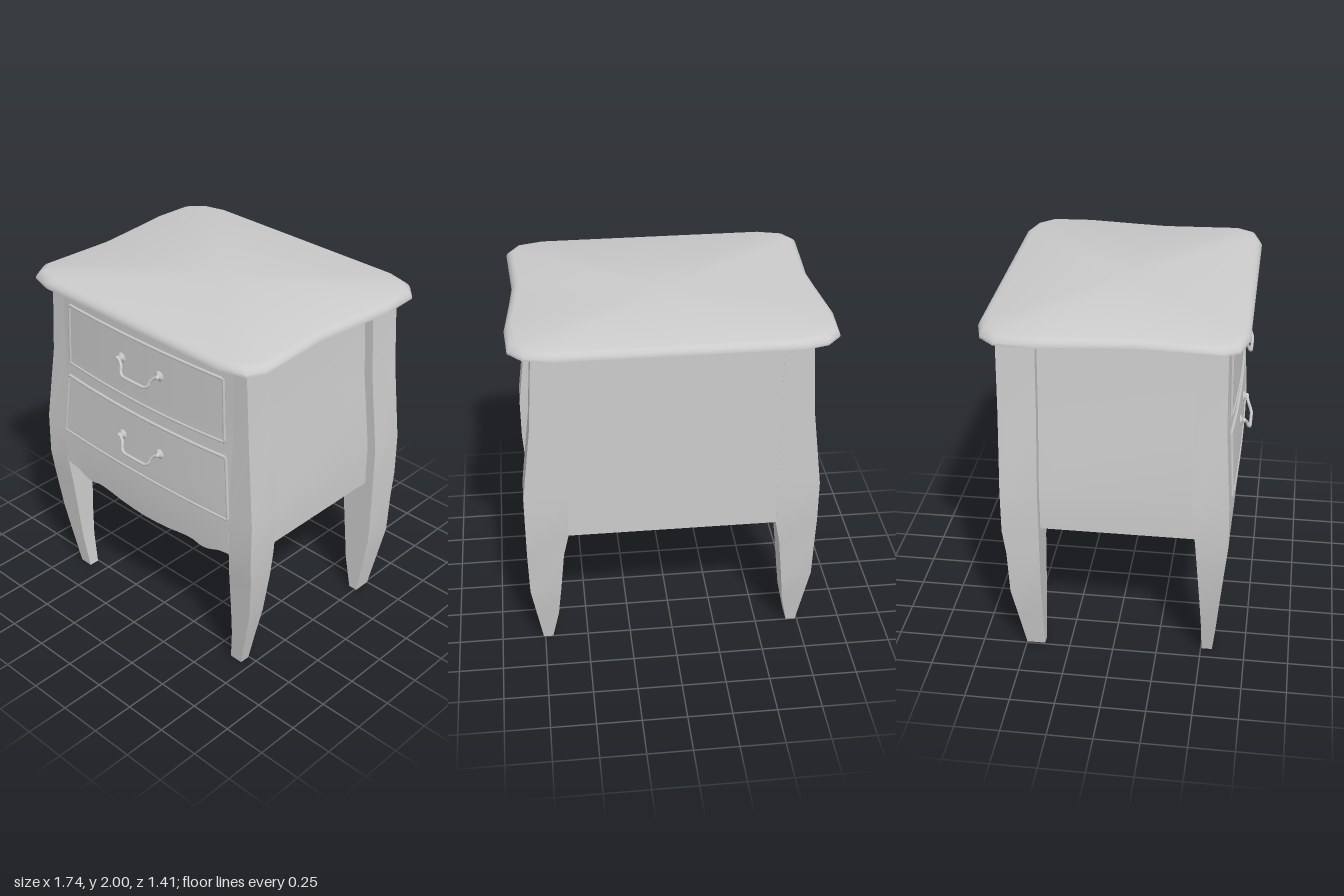
import * as THREE from 'three';
import { toCreasedNormals } from 'three/addons/utils/BufferGeometryUtils.js';

const grey = new THREE.MeshStandardMaterial({ color: 0xcccccc });

function add(parent, geometry, name) {
  const mesh = new THREE.Mesh(geometry, grey);
  mesh.name = name;
  parent.add(mesh);
  return mesh;
}

// Solid through rings of [x, y, z], bottom to top, each counter-clockwise from above
function loft(rings, crease = 0.5) {
  const n = rings[0].length, pos = rings.flat(2), index = [];
  for (let j = 0; j < rings.length - 1; j++) {
    for (let i = 0; i < n; i++) {
      const a = j * n + i, b = j * n + (i + 1) % n;
      index.push(a, b, b + n, a, b + n, a + n);
    }
  }
  const last = (rings.length - 1) * n, c = rings.length * n;
  for (const ring of [rings[0], rings[rings.length - 1]]) {
    pos.push(...[0, 1, 2].map(k => ring.reduce((s, p) => s + p[k], 0) / n));
  }
  for (let i = 0; i < n; i++) {
    const k = (i + 1) % n;
    index.push(c, k, i, c + 1, last + i, last + k);
  }
  const g = new THREE.BufferGeometry();
  g.setAttribute('position', new THREE.Float32BufferAttribute(pos, 3));
  g.setIndex(index);
  return toCreasedNormals(g, crease);
}

// Rectangular section
const rect = (y, x0, x1, z0, z1) => [[x1, y, z1], [x1, y, z0], [x0, y, z0], [x0, y, z1]];

// Leg sections: y, inner x, outer x, back z, front z
const frontLeg = [
  [0, 0.605, 0.685, 0.505, 0.565], [0.2, 0.63, 0.73, 0.5, 0.585],
  [0.4, 0.638, 0.775, 0.49, 0.602], [0.65, 0.645, 0.805, 0.472, 0.625],
  [0.8, 0.655, 0.815, 0.46, 0.64], [1.05, 0.65, 0.815, 0.435, 0.635],
  [1.5, 0.65, 0.76, 0.435, 0.605], [1.955, 0.65, 0.73, 0.435, 0.597],
];
const backLeg = [
  [0, 0.695, 0.75, -0.5, -0.395], [0.2, 0.655, 0.78, -0.535, -0.395],
  [0.4, 0.635, 0.81, -0.57, -0.395], [0.65, 0.61, 0.815, -0.58, -0.395],
  [0.8, 0.58, 0.815, -0.6, -0.395], [1.05, 0.58, 0.815, -0.6, -0.395],
  [1.5, 0.58, 0.76, -0.6, -0.395], [1.955, 0.58, 0.73, -0.6, -0.395],
];

// Piecewise linear lookup in [key, value] pairs
function lookup(table, t) {
  for (let i = 1; i < table.length; i++) {
    const [a, u] = table[i - 1], [b, v] = table[i];
    if (t <= b) return u + (v - u) * Math.max(0, (t - a) / (b - a));
  }
  return table[table.length - 1][1];
}

// Front surface: follows the legs and bows forward in the middle
const edgeZ = frontLeg.map(s => [s[0], s[4]]);
const bow = [[0.7, 0.006], [1.05, 0.012], [1.5, 0.025], [1.95, 0.025]];
const frontZ = (x, y) => lookup(edgeZ, y) + lookup(bow, y) * (1 - (x / 0.65) ** 2);

// Lower edge of the apron, by distance from the middle
const apronEdge = [[0, 0.722], [0.1, 0.727], [0.2, 0.738], [0.28, 0.753], [0.34, 0.761], [0.39, 0.761],
  [0.43, 0.748], [0.47, 0.746], [0.52, 0.763], [0.58, 0.79], [0.65, 0.8]];

// Slab laid on the front surface, z measured from that surface
function frontSlab(bottom, top, half, depth, offset) {
  const g = new THREE.BoxGeometry(2, 1, depth, 40, 12, 1);
  const p = g.attributes.position;
  for (let i = 0; i < p.count; i++) {
    const t = p.getY(i) + 0.5, u = p.getX(i), x = u * half(t);
    const y0 = bottom(x), y = y0 + (top(x) - y0) * t;
    p.setXYZ(i, x, y, p.getZ(i) + offset + frontZ(x, y));
  }
  return toCreasedNormals(g, 0.6);
}

function addDrawer(parent, name, y0, y1, w0, w1, handleY) {
  const drawer = new THREE.Group();
  drawer.name = name;
  parent.add(drawer);
  const dip = x => 0.013 * (1 - (x / w0) ** 2);
  const low = x => y0 - dip(x), high = x => y1 - dip(x) * (y1 > 1.6 ? 0.1 : 1);
  add(drawer, frontSlab(low, high, t => w0 + (w1 - w0) * t, 0.012, 0.002), 'drawerPanel');

  // Raised bead around the edge
  const N = 16;
  const path = new THREE.CurvePath();
  const pts = [];
  for (let i = 0; i <= N; i++) { const x = -w0 + 2 * w0 * i / N; pts.push([x, low(x)]); }
  for (let i = 0; i <= N; i++) { const x = w1 - 2 * w1 * i / N; pts.push([x, high(x)]); }
  pts.push(pts[0]);
  const v = pts.map(([x, y]) => new THREE.Vector3(x, y, frontZ(x, y) + 0.006));
  for (let i = 1; i < v.length; i++) path.add(new THREE.LineCurve3(v[i - 1], v[i]));
  add(drawer, new THREE.TubeGeometry(path, 220, 0.009, 6, false), 'drawerBead');

  // Drop handle hung between two rosettes
  const handle = new THREE.Group();
  handle.name = 'handle';
  handle.position.set(0, handleY, frontZ(0.14, handleY));
  drawer.add(handle);
  const profile = [[0, 0.028], [0.012, 0.026], [0.015, 0.018], [0.028, 0.012], [0.03, 0.006], [0.032, 0]]
    .map(([r, h]) => new THREE.Vector2(r, h)).reverse();
  for (const s of [-1, 1]) {
    const rosette = add(handle, new THREE.LatheGeometry(profile, 16), 'rosette');
    rosette.rotation.x = Math.PI / 2;
    rosette.position.x = s * 0.145;
  }
  const half = [[0.155, 0.004, 0.03], [0.13, -0.008, 0.035], [0.112, -0.03, 0.045],
    [0.105, -0.055, 0.055], [0.085, -0.07, 0.062], [0.04, -0.073, 0.063]];
  const bail = [...half.map(([x, y, z]) => [-x, y, z]), ...half.slice().reverse()];
  const curve = new THREE.CatmullRomCurve3(bail.map(q => new THREE.Vector3(...q)));
  add(handle, new THREE.TubeGeometry(curve, 48, 0.009, 8, false), 'bail');
  for (const s of [-1, 1]) {
    const tip = add(handle, new THREE.SphereGeometry(0.013, 10, 8), 'bailEnd');
    tip.position.set(s * 0.152, 0.003, 0.03);
  }
}

export function createModel() {
  const model = new THREE.Group();
  model.name = 'bedsideCabinet';
  const body = new THREE.Group();
  body.name = 'body';
  body.position.x = 0.01;
  model.add(body);

  // Top with a rounded upper edge and waisted sides
  const right = [[0.65, 0.7], [0.79, 0.66], [0.845, 0.57], [0.822, 0.13], [0.838, -0.05],
    [0.87, -0.36], [0.858, -0.58], [0.78, -0.665], [0.65, -0.7]];
  const outline = [...right, ...right.slice().reverse().map(([x, z]) => [-x, z])];
  const layers = [[1.95, 0], [1.962, 0], [1.978, 0.008], [1.992, 0.022], [2, 0.042]];
  add(model, loft(layers.map(([y, d]) =>
    outline.map(([x, z]) => [x * (1 - d / 0.87), y, z * (1 - d / 0.7)])), 0.7), 'top');

  // Curved legs
  for (const [name, sections] of [['frontLeg', frontLeg], ['backLeg', backLeg]]) {
    for (const s of [1, -1]) {
      const rings = sections.map(q => {
        const ring = rect(...q).map(([x, y, z]) => [s * x, y, z]);
        return s > 0 ? ring : ring.reverse();
      });
      add(body, loft(rings), name);
    }
  }

  // Carcass with recessed sides, back and floor
  const carcass = backLeg.slice(4).map(([y, , x]) => rect(y, 0.055 - x, x - 0.055, -0.599, 0.57));
  add(body, loft(carcass), 'carcass');

  // Bowed front with scalloped apron
  add(body, frontSlab(x => lookup(apronEdge, Math.abs(x)), () => 1.955, () => 0.652, 0.06, -0.03), 'frontPanel');

  addDrawer(body, 'upperDrawer', 1.48, 1.845, 0.6, 0.585, 1.695);
  addDrawer(body, 'lowerDrawer', 1.025, 1.395, 0.65, 0.615, 1.215);
  return model;
}
